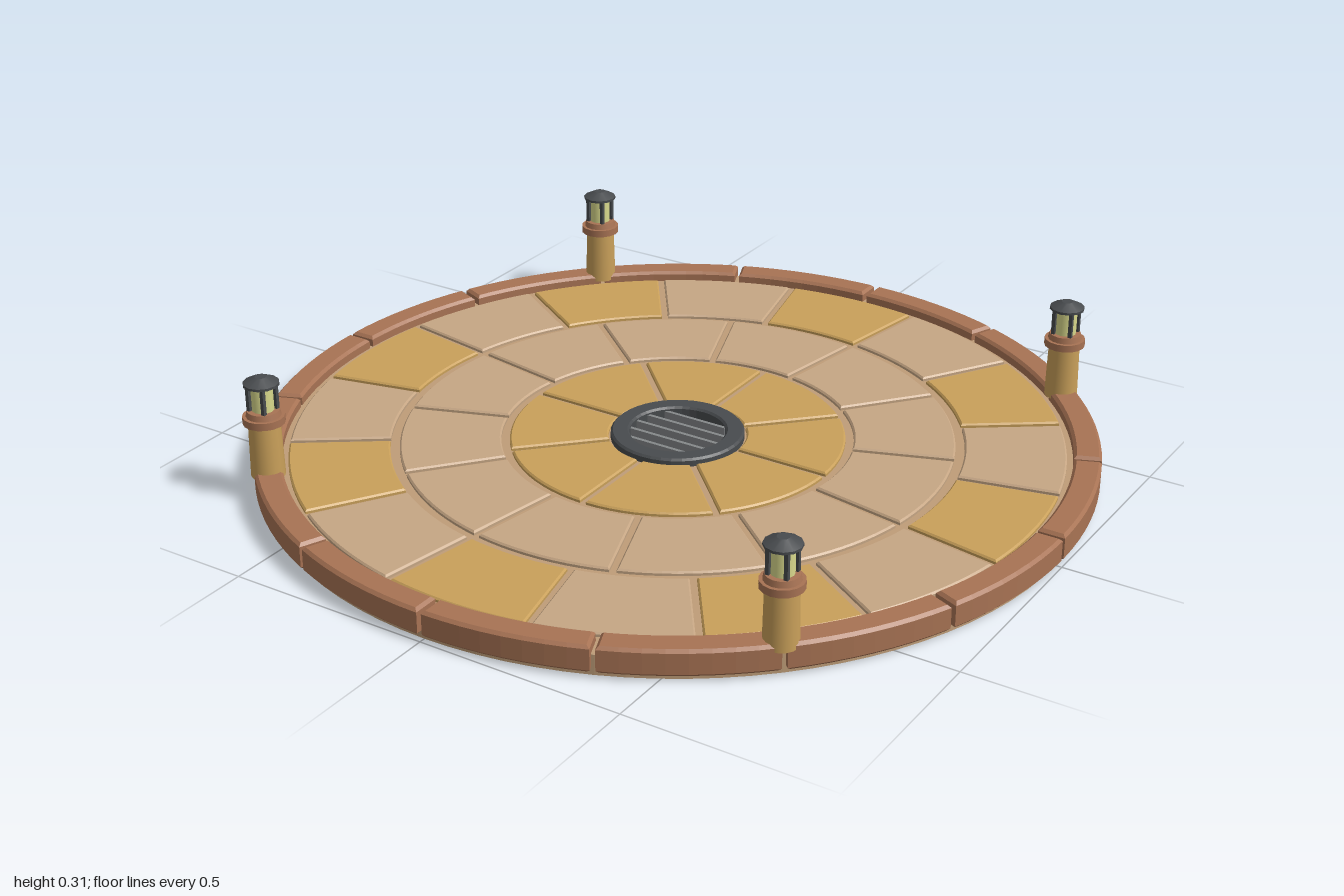
import * as THREE from 'three';

const paint = (name, color) => {
  const m = new THREE.MeshStandardMaterial({ color });
  m.name = name;
  return m;
};

// Flat-based block covering part of a ring, with straight even joints and bevelled edges
function ringBlock(r0, r1, a0, a1, gap, bottom, top, bevel, segments) {
  const g0 = gap / 2 / r0, g1 = gap / 2 / r1;
  const shape = new THREE.Shape();
  shape.absarc(0, 0, r1, a0 + g1, a1 - g1, false);
  shape.absarc(0, 0, r0, a1 - g0, a0 + g0, true);
  shape.closePath();
  const geometry = new THREE.ExtrudeGeometry(shape, {
    depth: top - bottom - 2 * bevel, curveSegments: segments,
    bevelEnabled: true, bevelSize: bevel, bevelThickness: bevel, bevelOffset: -bevel, bevelSegments: 1,
  });
  geometry.rotateX(Math.PI / 2);
  geometry.translate(0, top - bevel, 0);
  return geometry;
}

// Closed ring with a rectangular section, softened at its top edges
function ring(r0, r1, bottom, top, bevel, segments) {
  const p = [[r0, bottom], [r1, bottom], [r1, top - bevel], [r1 - bevel, top],
    [r0 + bevel, top], [r0, top - bevel], [r0, bottom]];
  const pts = p.map(([r, y]) => new THREE.Vector2(r, y));
  const geometry = new THREE.LatheGeometry(pts, segments).toNonIndexed();
  geometry.computeVertexNormals();
  return geometry;
}

export function createModel() {
  const sand = paint('sandStone', 0xc6a684);
  const gold = paint('goldStone', 0xc9a05a);
  const grout = paint('grout', 0xbf9d78);
  const brick = paint('kerbBrick', 0xa87354);
  const iron = paint('darkIron', 0x484b4e);
  const steel = paint('grateSteel', 0x85888a);
  const rust = paint('drainBrown', 0x6e4d3e);
  const glow = paint('lampGlow', 0xd9d98c);

  const model = new THREE.Group();
  model.name = 'roundPlaza';
  const add = (parent, name, geometry, material, x = 0, y = 0, z = 0) => {
    const mesh = new THREE.Mesh(geometry, material);
    mesh.name = name;
    mesh.position.set(x, y, z);
    parent.add(mesh);
    return mesh;
  };
  const group = (name, parent = model) => {
    const g = new THREE.Group();
    g.name = name;
    parent.add(g);
    return g;
  };

  // Foundation slab with a hole for the drain
  add(model, 'foundation', ring(0.128, 0.985, 0, 0.05, 0.002, 96), grout);

  // Three rings of paving stones
  const rings = [
    { name: 'innerPaving', r0: 0.165, r1: 0.4, count: 8, turn: 0, isGold: () => true },
    { name: 'middlePaving', r0: 0.42, r1: 0.66, count: 12, turn: 0.17, isGold: () => false },
    { name: 'outerPaving', r0: 0.682, r1: 0.92, count: 16, turn: 0.17, isGold: (i) => i % 4 % 2 === 1 },
  ];
  for (const { name, r0, r1, count, turn, isGold } of rings) {
    const paving = group(name);
    const step = (Math.PI * 2) / count;
    for (let i = 0; i < count; i++) {
      const a = turn + i * step;
      const stone = ringBlock(r0, r1, a, a + step, 0.016, 0.04, 0.06, 0.004, 5);
      add(paving, 'pavingStone', stone, isGold(i) ? gold : sand);
    }
  }

  // Raised kerb of sixteen bricks
  const kerb = group('kerb');
  const step = Math.PI / 8;
  for (let i = 0; i < 16; i++) {
    add(kerb, 'kerbStone', ringBlock(0.935, 1, i * step, (i + 1) * step, 0.012, 0.012, 0.076, 0.007, 4), brick);
  }

  // Central drain: iron rim, recessed plate and thin grate bars
  const drain = group('drain');
  add(drain, 'drainRim', ring(0.115, 0.16, 0.03, 0.07, 0.005, 40), iron);
  add(drain, 'drainPlate', new THREE.CylinderGeometry(0.128, 0.128, 0.025, 40), rust, 0, 0.0275, 0);
  for (let i = -2; i <= 2; i++) {
    const z = i * 0.04;
    const length = 2 * Math.sqrt(0.117 ** 2 - z * z);
    add(drain, 'grateBar', new THREE.BoxGeometry(length, 0.022, 0.009), steel, 0, 0.05, z);
  }

  // Four lantern posts standing on the kerb
  for (const sx of [1, -1]) {
    for (const sz of [1, -1]) {
      const lamp = group('lanternPost');
      lamp.position.set(sx * 0.684, 0, sz * 0.684);
      add(lamp, 'post', new THREE.CylinderGeometry(0.037, 0.04, 0.14, 16), gold, 0, 0.13, 0);
      add(lamp, 'collar', new THREE.CylinderGeometry(0.049, 0.049, 0.018, 16), brick, 0, 0.203, 0);
      add(lamp, 'collarTop', new THREE.CylinderGeometry(0.038, 0.041, 0.014, 16), brick, 0, 0.219, 0);
      add(lamp, 'lanternGlass', new THREE.CylinderGeometry(0.026, 0.026, 0.068, 12), glow, 0, 0.259, 0);
      for (let i = 0; i < 4; i++) {
        const a = Math.PI / 4 + (i * Math.PI) / 2;
        const bar = new THREE.BoxGeometry(0.009, 0.068, 0.009);
        add(lamp, 'lanternBar', bar, iron, 0.031 * Math.cos(a), 0.259, 0.031 * Math.sin(a));
      }
      add(lamp, 'roofBrim', new THREE.CylinderGeometry(0.042, 0.042, 0.006, 12), iron, 0, 0.292, 0);
      add(lamp, 'roof', new THREE.CylinderGeometry(0.014, 0.042, 0.014, 12), iron, 0, 0.302, 0);
    }
  }
  return model;
}
